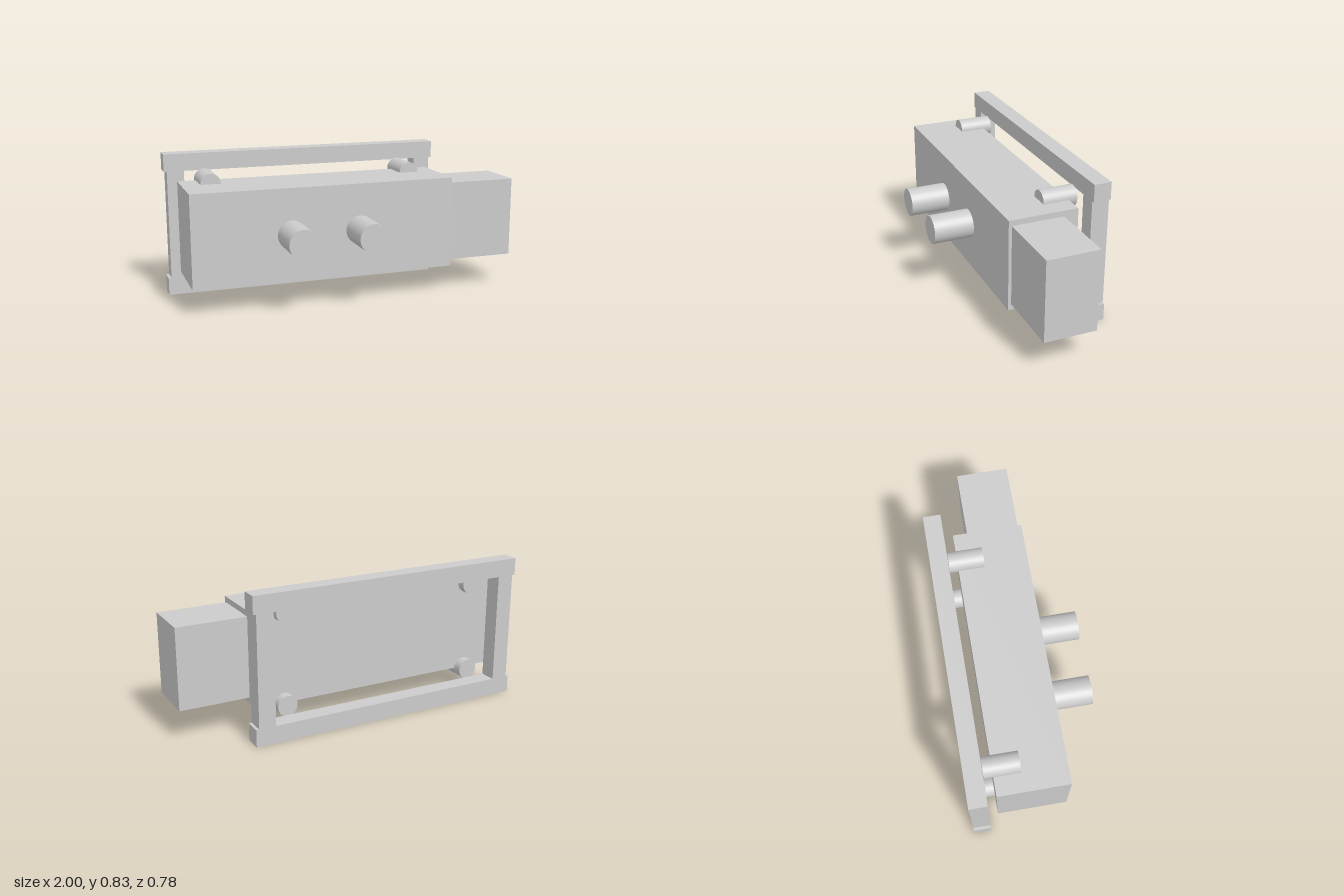
import * as THREE from 'three';

const material = new THREE.MeshStandardMaterial({ color: 0xcccccc });

export function createModel() {
  const model = new THREE.Group();
  model.name = 'wallMountedBox';

  // Box given by its limits on each axis
  const box = (name, [x0, x1], [y0, y1], [z0, z1]) => {
    const mesh = new THREE.Mesh(new THREE.BoxGeometry(x1 - x0, y1 - y0, z1 - z0), material);
    mesh.name = name;
    mesh.position.set((x0 + x1) / 2, (y0 + y1) / 2, (z0 + z1) / 2);
    model.add(mesh);
  };

  // Round peg lying along z
  const peg = (name, radius, x, y, [z0, z1]) => {
    const geometry = new THREE.CylinderGeometry(radius, radius, z1 - z0, 32).rotateX(Math.PI / 2);
    const mesh = new THREE.Mesh(geometry, material);
    mesh.name = name;
    mesh.position.set(x, y, (z0 + z1) / 2);
    model.add(mesh);
  };

  // Main body and the smaller block on its left end
  box('body', [-0.934, 0.598], [0.152, 0.684], [-0.24, 0.16]);
  box('endBlock', [0.598, 1], [0.186, 0.651], [-0.157, 0.142]);

  // Two knobs on the front
  for (const x of [-0.37, 0.03]) peg('frontKnob', 0.083, x, 0.418, [0.16, 0.393]);

  // Four standoffs half sunk into the body's top and bottom edges
  for (const x of [-0.77, 0.43]) {
    for (const y of [0.152, 0.684]) peg('standoff', 0.059, x, y, [-0.29, -0.09]);
  }

  // Rear frame: long rails overhang the uprights
  const depth = [-0.392, -0.292];
  box('bottomRail', [-1, 0.664], [0, 0.1], depth);
  box('topRail', [-1, 0.664], [0.734, 0.834], depth);
  box('rightUpright', [-0.983, -0.885], [0.1, 0.734], depth);
  box('leftUpright', [0.549, 0.647], [0.1, 0.734], depth);

  return model;
}
